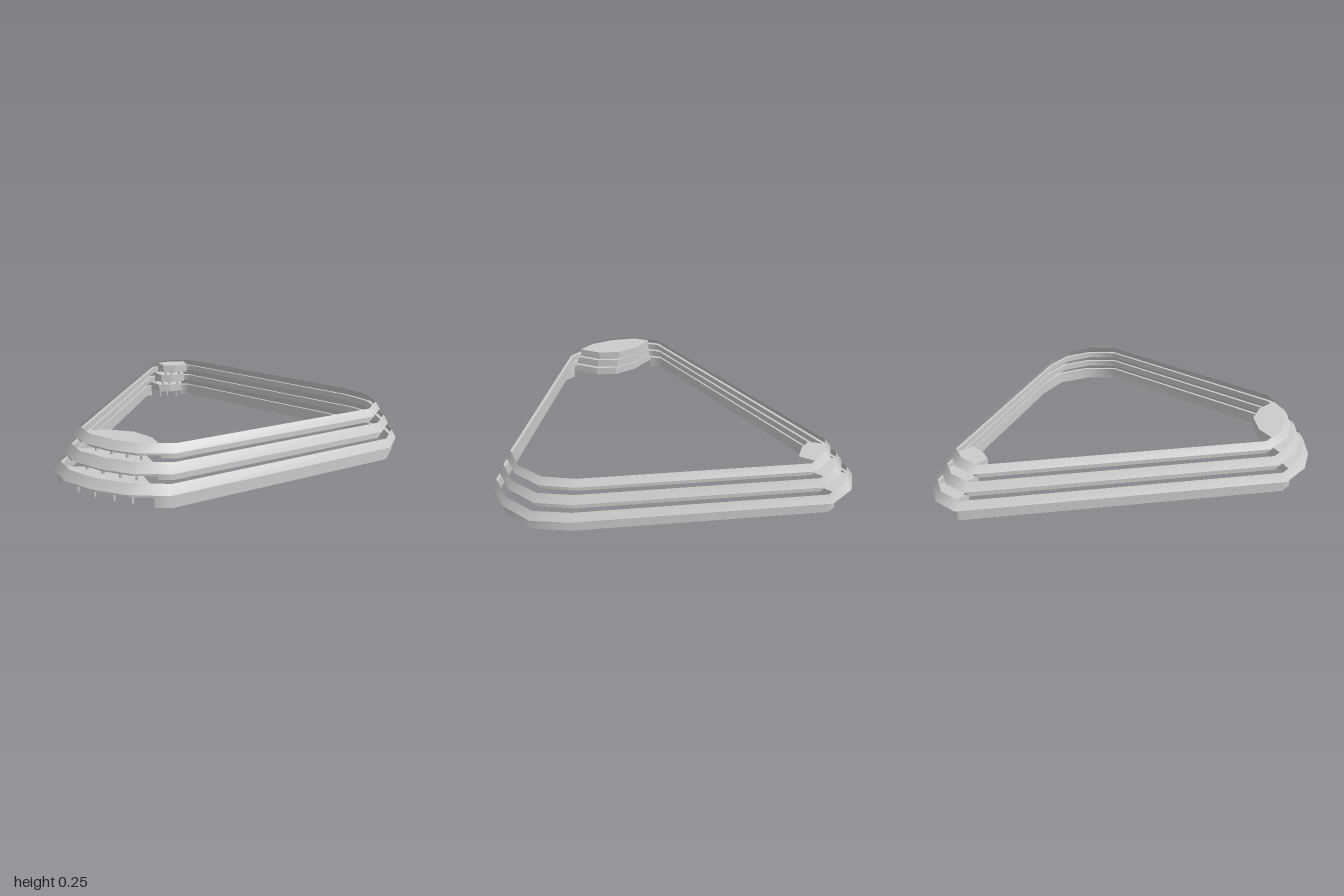
import * as THREE from 'three';

// Corner points [x, z] of the plan: widest eave and innermost top edge
const OUTER = [[0.02, -1], [0.17, -0.945], [0.835, 0.17], [0.905, 0.36], [0.86, 0.545], [0.745, 0.69],
  [-0.475, 0.995], [-0.65, 0.925], [-0.78, 0.815], [-0.87, 0.68], [-0.905, 0.5], [-0.115, -0.97]];
const INNER = [[0.02, -0.84], [0.145, -0.81], [0.735, 0.185], [0.785, 0.345], [0.755, 0.5], [0.655, 0.615],
  [-0.41, 0.87], [-0.57, 0.82], [-0.665, 0.735], [-0.745, 0.62], [-0.77, 0.465], [-0.09, -0.81]];
const N = OUTER.length;

const mat = new THREE.MeshStandardMaterial({ color: 0xcccccc, side: THREE.DoubleSide });
const mix = (a, b, t) => a + (b - a) * t;

// Plan point at (fractional) corner index u and inset k (0 = widest, 1 = innermost)
function at(u, k) {
  const i = Math.floor(u), t = u - i;
  const corner = (j) => [0, 1].map((c) => mix(OUTER[j % N][c], INNER[j % N][c], k));
  const a = corner(i), b = corner(i + 1);
  return [mix(a[0], b[0], t), mix(a[1], b[1], t)];
}

// Band along the corner indices us, from inset k0 at height y0 to k1 at y1
function band(name, us, k0, y0, k1, y1, closed = false) {
  const pos = [], idx = [], n = us.length;
  us.forEach((u) => {
    const a = at(u, k0), b = at(u, k1);
    pos.push(a[0], y0, a[1], b[0], y1, b[1]);
  });
  for (let i = 0; i < (closed ? n : n - 1); i++) {
    const a = 2 * i, c = 2 * ((i + 1) % n);
    idx.push(c, a, a + 1, c, a + 1, c + 1);
  }
  const g = new THREE.BufferGeometry();
  g.setAttribute('position', new THREE.Float32BufferAttribute(pos, 3));
  g.setIndex(idx);
  g.computeVertexNormals();
  const m = new THREE.Mesh(g, mat);
  m.name = name;
  return m;
}

// Flat slab from plan points
function slab(name, points, y0, y1) {
  const shape = new THREE.Shape(points.map(([x, z]) => new THREE.Vector2(x, -z)));
  const g = new THREE.ExtrudeGeometry(shape, { depth: y1 - y0, bevelEnabled: false });
  g.rotateX(-Math.PI / 2).translate(0, y0, 0);
  const m = new THREE.Mesh(g, mat);
  m.name = name;
  return m;
}

function column(name, [x, z], y0, y1) {
  const m = new THREE.Mesh(new THREE.CylinderGeometry(0.007, 0.007, y1 - y0, 8), mat);
  m.position.set(x, (y0 + y1) / 2, z);
  m.name = name;
  return m;
}

// Open corners: rim indices, inner edge of the top slab, shift per lower tier, columns
const CORNERS = [
  { name: 'frontCorner', rim: [6.4, 7, 8, 9, 9.6], inner: [[-0.65, 0.545], [-0.54, 0.62], [-0.485, 0.73]],
    shift: [-0.03, 0.03], columns: [7, 7.6, 8.3, 9] },
  { name: 'backCorner', rim: [11.26, 12, 12.67], inner: [[0.1, -0.73], [0.02, -0.72], [-0.05, -0.735]],
    shift: [0, -0.06], columns: [11.6, 12, 12.4] },
];

export function createModel() {
  const model = new THREE.Group();
  model.name = 'terracedFrame';
  const ring = OUTER.map((_, i) => i);
  const walls = { longWall: [0.67, 1, 2, 3, 4, 5, 6, 6.4], sideWall: [9.6, 10, 11, 11.26] };
  const tiers = [
    { base: 0, eave: 0.063, top: 0.107 },
    { base: 0.107, eave: 0.14, top: 0.185 },
    { base: 0.185, eave: 0.215, top: 0.253 },
  ];

  tiers.forEach(({ base, eave, top }, i) => {
    const tier = new THREE.Group();
    tier.name = 'tier' + (i + 1);
    const k = i * 0.395, kWall = k + 0.16;

    // Sloped parapet, its soffit and the upright walls
    tier.add(band('slopedParapet', ring, k, eave, k + 0.21, top, true));
    tier.add(band('soffit', ring, kWall, eave, k, eave, true));
    for (const [name, us] of Object.entries(walls)) tier.add(band(name, us, kWall, base, kWall, eave));

    // Corner slabs on thin columns
    for (const c of CORNERS) {
      const d = 2 - i;
      const inner = c.inner.map(([x, z]) => [x + c.shift[0] * d, z + c.shift[1] * d]);
      const points = [...c.rim.map((u) => at(u, kWall + 0.01)), ...inner];
      tier.add(slab(c.name + 'Slab', points, eave - 0.018, eave + 0.028));
      const foot = i ? tiers[i - 1].eave + 0.028 : 0;
      c.columns.forEach((u) => tier.add(column(c.name + 'Column', at(u, kWall + 0.3), foot, eave - 0.018)));
    }
    model.add(tier);
  });
  return model;
}
